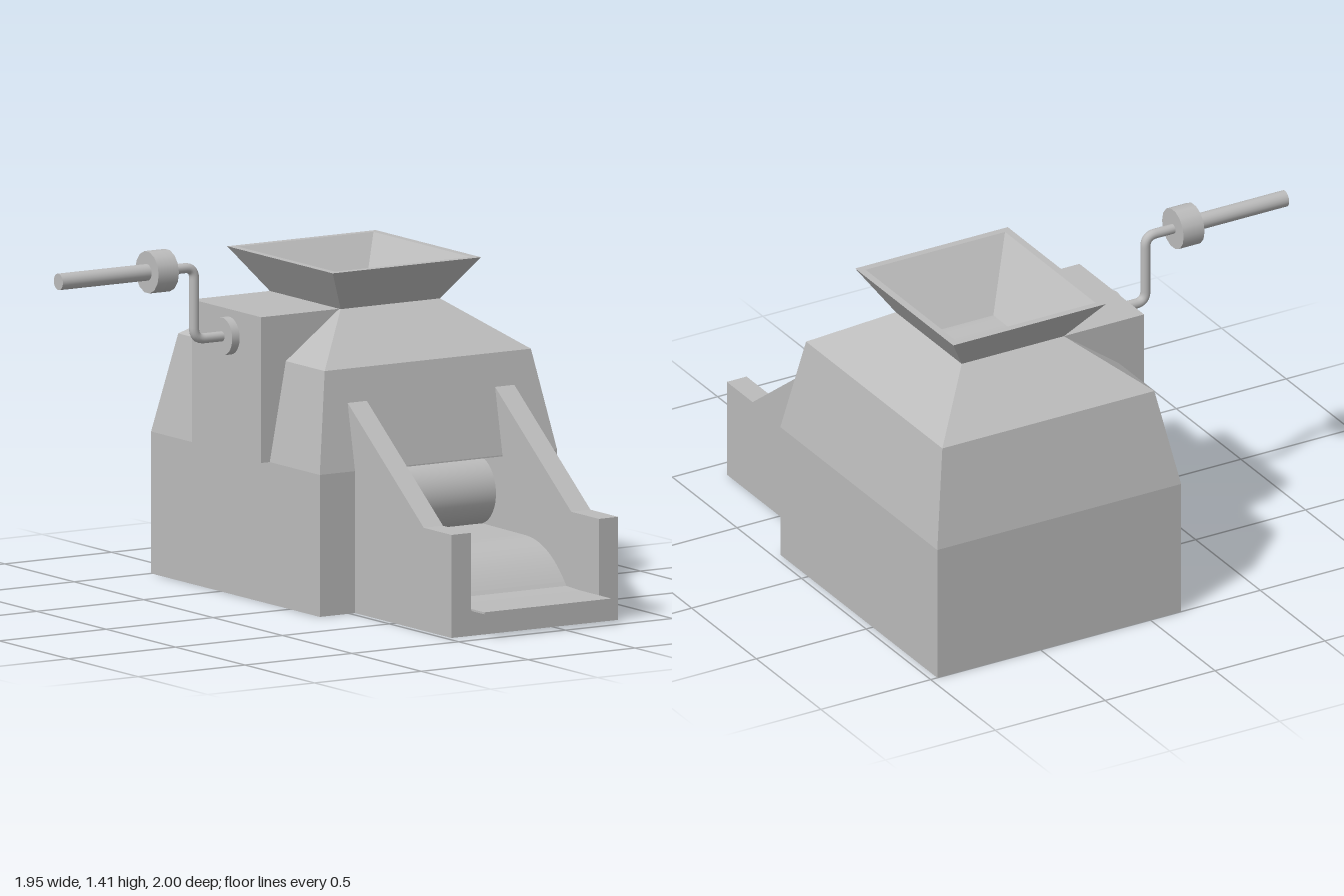
import * as THREE from 'three';

export function createModel() {
  const model = new THREE.Group();
  const grey = new THREE.MeshStandardMaterial({ color: 0xbcbcbc, side: THREE.DoubleSide });
  grey.name = 'machine grey';

  const add = (name, geometry, x = 0, y = 0, z = 0) => {
    const mesh = new THREE.Mesh(geometry, grey);
    mesh.name = name;
    mesh.position.set(x, y, z);
    model.add(mesh);
    return mesh;
  };

  // flat-sided shell through rectangular rings [y, x0, x1, z0, z1]; skip lists omitted "level:side" faces
  const loft = (rings, skip = []) => {
    const pts = [];
    const corners = rings.map(([y, x0, x1, z0, z1]) => [[x0, y, z1], [x1, y, z1], [x1, y, z0], [x0, y, z0]]);
    for (let r = 0; r < rings.length - 1; r++) {
      for (let i = 0; i < 4; i++) {
        if (skip.includes(`${r}:${i}`)) continue;
        const j = (i + 1) % 4;
        const [a, b, c, d] = [corners[r][i], corners[r][j], corners[r + 1][j], corners[r + 1][i]];
        pts.push(...a, ...b, ...c, ...a, ...c, ...d);
      }
    }
    const g = new THREE.BufferGeometry();
    g.setAttribute('position', new THREE.Float32BufferAttribute(pts, 3));
    g.computeVertexNormals();
    return g;
  };

  // side profile drawn in (z, y), extruded from x0 to x1
  const profile = (shape, x0, x1) =>
    new THREE.ExtrudeGeometry(shape, { depth: x1 - x0, bevelEnabled: false, curveSegments: 20 })
      .rotateY(-Math.PI / 2).translate(x1, 0, 0);

  // cylinder lying along x
  const rod = (name, r, x0, x1, y, z, sides = 32) =>
    add(name, new THREE.CylinderGeometry(r, r, x1 - x0, sides).rotateZ(Math.PI / 2), (x0 + x1) / 2, y, z);

  // housing, with its lower front panel left out for the outlet
  add('housing', loft([
    [0, -0.14, 0.97, -1, 0.215],
    [0.565, -0.14, 0.97, -1, 0.215],
    [0.96, -0.065, 0.9, -0.92, 0.135],
    [1.145, 0.185, 0.65, -0.645, -0.135],
  ], ['0:0']));
  add('housingFloor', new THREE.PlaneGeometry(1.11, 1.215).rotateX(Math.PI / 2), 0.415, 0, -0.3925);

  // front panel with the outlet opening
  const panel = new THREE.Shape([[-0.14, 0], [0.97, 0], [0.97, 0.565], [-0.14, 0.565]].map(p => new THREE.Vector2(...p)));
  panel.holes.push(new THREE.Path([[0.115, 0.1], [0.115, 0.56], [0.715, 0.56], [0.715, 0.1]].map(p => new THREE.Vector2(...p))));
  add('frontPanel', new THREE.ShapeGeometry(panel), 0, 0, 0.215);

  // inside of the outlet
  add('outletRoof', new THREE.PlaneGeometry(0.6, 0.395).rotateX(Math.PI / 2), 0.415, 0.56, 0.0175);
  add('outletBack', new THREE.PlaneGeometry(0.6, 0.46), 0.415, 0.33, -0.18);
  for (const side of [-1, 1]) {
    add('outletCheek', new THREE.PlaneGeometry(0.395, 0.46).rotateY(-side * Math.PI / 2), 0.415 + side * 0.3, 0.33, 0.0175);
  }
  rod('outletRoller', 0.138, 0.115, 0.715, 0.405, 0.03, 48);

  // curved discharge ramp and its thin lip
  const ramp = new THREE.Shape();
  ramp.moveTo(-0.18, 0);
  ramp.lineTo(0.91, 0);
  ramp.lineTo(0.91, 0.1);
  ramp.lineTo(0.675, 0.11);
  ramp.quadraticCurveTo(0.55, 0.27, 0.375, 0.27);
  ramp.lineTo(-0.18, 0.275);
  add('dischargeRamp', profile(ramp, 0.115, 0.715));
  add('trayLip', new THREE.BoxGeometry(0.595, 0.008, 0.3), 0.4175, 0.102, 0.85);

  // guard walls either side of the ramp
  const wall = new THREE.Shape([[0.2, 0], [0.91, 0], [0.91, 0.41], [0.71, 0.41], [0.16, 0.83], [0.14, 0.8], [0.2, 0.565]]
    .map(p => new THREE.Vector2(...p)));
  add('rightGuard', profile(wall, 0.025, 0.115));
  add('leftGuard', profile(wall, 0.715, 0.805));

  // hopper: outer slope, rim, then inner slope down to the throat
  add('hopper', loft([
    [1.145, 0.185, 0.65, -0.645, -0.135],
    [1.315, 0.07, 0.765, -0.775, -0.015],
    [1.315, 0.1, 0.735, -0.745, -0.045],
    [1.075, 0.265, 0.565, -0.555, -0.235],
  ]));

  // crushing rollers below the throat
  for (const z of [-0.562, -0.223]) rod('crushingRoller', 0.152, 0.12, 0.71, 0.91, z, 40);

  // gearbox on the right flank
  add('gearbox', new THREE.BoxGeometry(0.365, 0.58, 0.5), 0.0025, 0.855, -0.395);

  // crank: flange, bent arm, collar and grip
  const cz = -0.375;
  rod('crankFlange', 0.075, -0.215, -0.18, 1.04, cz);
  const v = (x, y) => new THREE.Vector3(x, y, cz);
  const arm = new THREE.CurvePath();
  arm.add(new THREE.LineCurve3(v(-0.18, 1.04), v(-0.3, 1.04)));
  arm.add(new THREE.QuadraticBezierCurve3(v(-0.3, 1.04), v(-0.345, 1.04), v(-0.345, 1.085)));
  arm.add(new THREE.LineCurve3(v(-0.345, 1.085), v(-0.345, 1.282)));
  arm.add(new THREE.QuadraticBezierCurve3(v(-0.345, 1.282), v(-0.345, 1.327), v(-0.39, 1.327)));
  arm.add(new THREE.LineCurve3(v(-0.39, 1.327), v(-0.48, 1.327)));
  add('crankArm', new THREE.TubeGeometry(arm, 60, 0.02, 14));
  rod('crankCollar', 0.084, -0.565, -0.47, 1.327, cz, 14);
  rod('crankGrip', 0.033, -0.98, -0.56, 1.327, cz, 20);

  return model;
}
